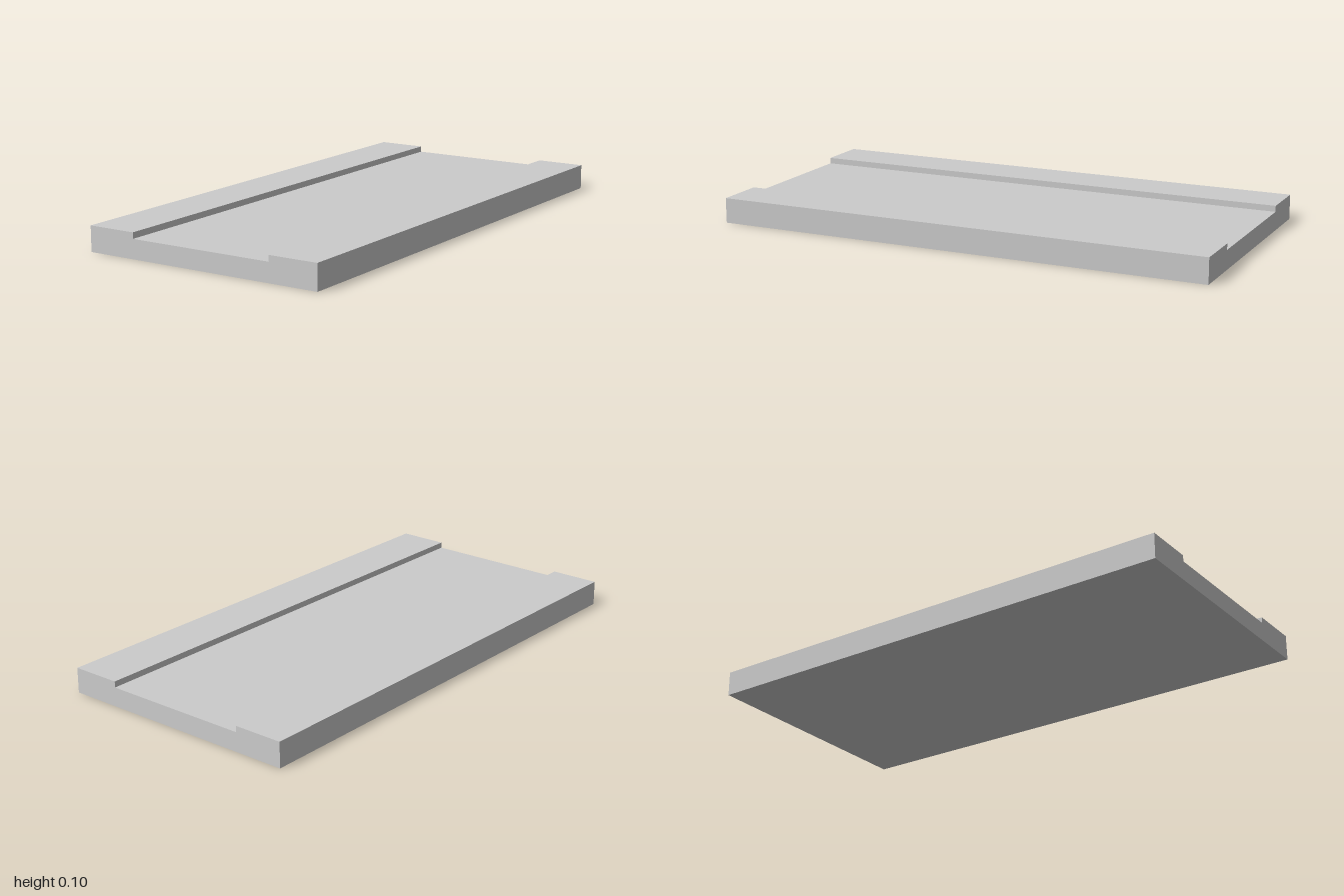
import * as THREE from 'three';

const LENGTH = 2;
const HALF_WIDTH = 0.5;
const HALF_CHANNEL = 0.3;
const HEIGHT = 0.1;
const CHANNEL_HEIGHT = 0.076;

export function createModel() {
  const group = new THREE.Group();
  group.name = 'roadSegment';

  // Cross-section: a flat slab with a raised kerb on each side
  const section = new THREE.Shape([
    [-HALF_WIDTH, 0],
    [HALF_WIDTH, 0],
    [HALF_WIDTH, HEIGHT],
    [HALF_CHANNEL, HEIGHT],
    [HALF_CHANNEL, CHANNEL_HEIGHT],
    [-HALF_CHANNEL, CHANNEL_HEIGHT],
    [-HALF_CHANNEL, HEIGHT],
    [-HALF_WIDTH, HEIGHT],
  ].map(([x, y]) => new THREE.Vector2(x, y)));

  // Run the section along z, centred
  const geometry = new THREE.ExtrudeGeometry(section, { depth: LENGTH, bevelEnabled: false });
  geometry.translate(0, 0, -LENGTH / 2);

  const material = new THREE.MeshStandardMaterial({ color: 0xcccccc, flatShading: true });
  const slab = new THREE.Mesh(geometry, material);
  slab.name = 'channelledSlab';
  group.add(slab);

  return group;
}
